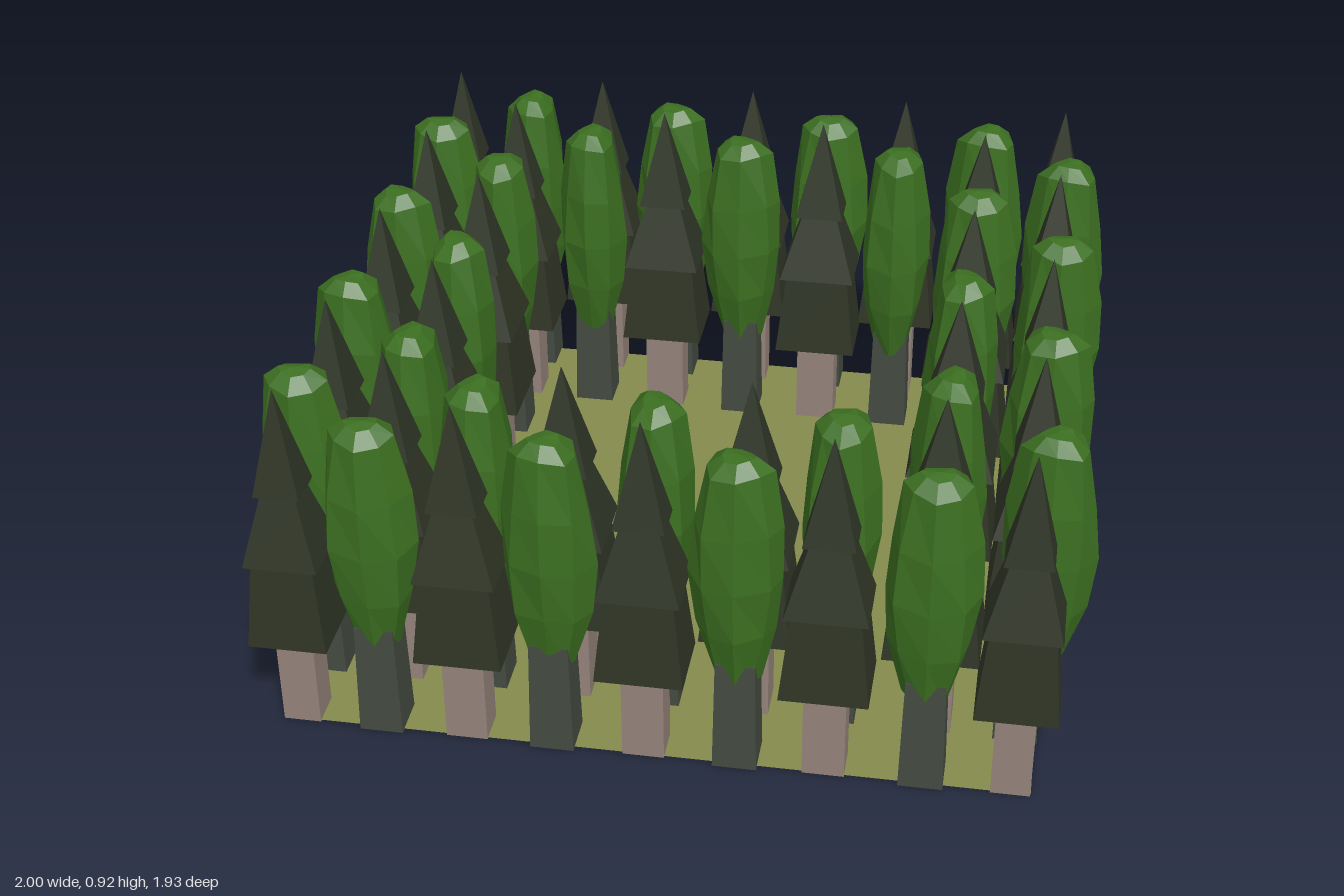
import * as THREE from 'three';

// Grid of tree positions and the pine widths per column / row
const colX = [-0.87, -0.67, -0.46, -0.25, -0.03, 0.19, 0.4, 0.63, 0.84];
const rowZ = [-0.855, -0.675, -0.47, -0.24, -0.01, 0.23, 0.46, 0.67, 0.87];
const colW = [0.19, 0.205, 0.21, 0.22, 0.21, 0.22, 0.21, 0.23, 0.195];
const rowD = [0.18, 0.195, 0.25, 0.235, 0.24, 0.235, 0.24, 0.21, 0.18];

const mat = (name, color, extra = {}) => {
  const m = new THREE.MeshStandardMaterial({ color, flatShading: true, ...extra });
  m.name = name;
  return m;
};

// Square frustum with half widths given at bottom and top
function frustum(bottom, top, y0, y1) {
  const g = new THREE.CylinderGeometry(top * Math.SQRT2, bottom * Math.SQRT2, y1 - y0, 4);
  g.rotateY(Math.PI / 4);
  g.translate(0, (y0 + y1) / 2, 0);
  return g;
}

// Tall faceted crown of unit half width, made uneven by a rule
function crownGeometry(seed) {
  const profile = [[0, 0.23], [0.5, 0.24], [0.86, 0.39], [1, 0.53], [0.93, 0.67], [0.7, 0.82], [0.36, 0.852], [0, 0.857]];
  const g = new THREE.LatheGeometry(profile.map(([r, y]) => new THREE.Vector2(r, y)), 8);
  const p = g.attributes.position;
  for (let i = 0; i < p.count; i++) {
    const x = p.getX(i), y = p.getY(i), z = p.getZ(i);
    const a = Math.atan2(z, x);
    const k = 0.97 + 0.07 * Math.sin(3 * a + 9 * y + seed);
    p.setXYZ(i, x * k, y + 0.012 * Math.sin(2 * a + seed) * Math.hypot(x, z), z * k);
  }
  const flat = g.toNonIndexed();
  flat.computeVertexNormals();
  return flat;
}

export function createModel() {
  const root = new THREE.Group();
  root.name = 'forestRing';

  const ground = mat('grass', 0x848a4c, { side: THREE.DoubleSide });
  const pineLeaf = mat('pine needles', 0x2f3526);
  const pineBark = mat('pale bark', 0x94837a);
  const leaf = mat('leaves', 0x3b6e20);
  const bark = mat('dark bark', 0x434a40);

  const add = (parent, name, geometry, material) => {
    const mesh = new THREE.Mesh(geometry, material);
    mesh.name = name;
    parent.add(mesh);
    return mesh;
  };

  // Thin clearing floor
  const floor = new THREE.PlaneGeometry(1.8, 1.8);
  floor.rotateX(-Math.PI / 2);
  add(root, 'ground', floor, ground).position.set(-0.012, 0.003, 0.01);

  // Shared unit-width tree parts
  const pineTiers = [
    frustum(1, 0.76, 0.25, 0.49),
    frustum(0.93, 0.42, 0.475, 0.66),
    frustum(0.58, 0, 0.655, 0.92),
  ];
  const pineTrunk = frustum(0.48, 0.48, 0, 0.27);
  const leafTrunk = frustum(0.053, 0.047, 0, 0.3);
  const crowns = [0.4, 2.1, 3.9].map(crownGeometry);

  function pine(c, r) {
    const tree = new THREE.Group();
    tree.name = 'pineTree';
    add(tree, 'pineTrunk', pineTrunk, pineBark);
    pineTiers.forEach((g) => add(tree, 'pineTier', g, pineLeaf));
    tree.scale.set(colW[c] / 2, 1, rowD[r] / 2);
    tree.position.set(colX[c], 0, rowZ[r]);
    root.add(tree);
  }

  function leafy(c, r) {
    const tree = new THREE.Group();
    tree.name = 'leafyTree';
    add(tree, 'leafyTrunk', leafTrunk, bark);
    const crown = add(tree, 'crown', crowns[(c * 2 + r) % 3], leaf);
    // Outer trees are long along x, inner ones along z, with a few swapped
    const outer = c === 0 || c === 8 || r === 0 || r === 8;
    const swapped = (r === 0 && c === 1) || (r === 1 && c === 4) || (r === 2 && c === 7);
    const alongX = outer !== swapped;
    crown.scale.set(alongX ? 0.114 : 0.096, 1, alongX ? 0.09 : 0.114);
    // Crowns on the side columns lean outwards
    crown.position.x = c === 0 ? -0.015 : c === 8 ? 0.02 + (r === 7 ? 0.02 : 0) : 0;
    if (r === 0 && c === 1) crown.position.z = -0.01;
    tree.position.set(colX[c], 0, rowZ[r]);
    root.add(tree);
  }

  // Two-deep checkerboard belt of trees around the clearing
  for (let r = 0; r < 9; r++) {
    for (let c = 0; c < 9; c++) {
      if (r > 1 && r < 7 && c > 1 && c < 7) continue;
      if ((r + c) % 2 === 0) pine(c, r);
      else leafy(c, r);
    }
  }
  return root;
}
